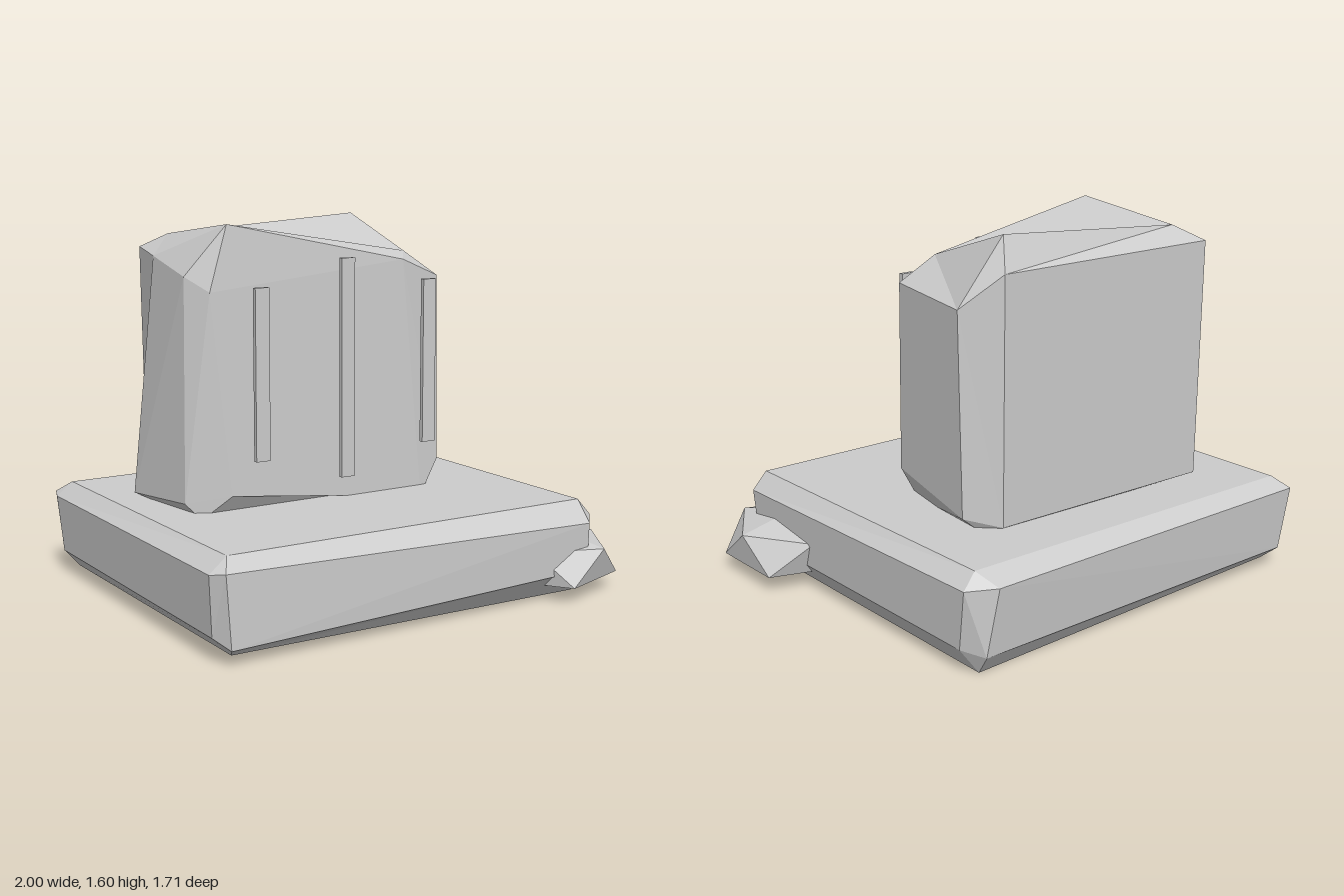
import * as THREE from 'three';
import { ConvexGeometry } from 'three/addons/geometries/ConvexGeometry.js';

const stone = new THREE.MeshStandardMaterial({ color: 0xcccccc, flatShading: true });

function part(name, geometry) {
  const mesh = new THREE.Mesh(geometry, stone);
  mesh.name = name;
  return mesh;
}

// Rough chamfered block. Each of the 8 corners (x, y, z low/high, z fastest)
// is cut into three points: one on its x face, one on its y face, one on its z face.
function chamferedBlock(corners) {
  const pts = corners.flat().map((p) => new THREE.Vector3(...p));
  const center = new THREE.Box3().setFromPoints(pts).getCenter(new THREE.Vector3());
  const out = [];
  const tri = (a, b, c) => {
    const n = b.clone().sub(a).cross(c.clone().sub(a));
    const mid = a.clone().add(b).add(c).divideScalar(3).sub(center);
    for (const p of n.dot(mid) < 0 ? [a, c, b] : [a, b, c]) out.push(p.x, p.y, p.z);
  };
  const quad = (a, b, c, d) => {
    // split along the shorter diagonal
    if (a.distanceTo(c) < b.distanceTo(d)) { tri(a, b, c); tri(a, c, d); }
    else { tri(a, b, d); tri(b, c, d); }
  };
  const weight = [4, 2, 1];
  for (let a = 0; a < 3; a++) {
    const b = (a + 1) % 3, c = (a + 2) % 3;
    const at = (sa, sb, sc, face) =>
      pts[(sa * weight[a] + sb * weight[b] + sc * weight[c]) * 3 + face];
    for (const s of [0, 1]) {
      quad(at(s, 0, 0, a), at(s, 1, 0, a), at(s, 1, 1, a), at(s, 0, 1, a)); // main face
      for (const t of [0, 1]) // bevels running along axis a
        quad(at(0, s, t, b), at(1, s, t, b), at(1, s, t, c), at(0, s, t, c));
    }
  }
  for (let i = 0; i < 24; i += 3) tri(pts[i], pts[i + 1], pts[i + 2]); // corner cuts
  const g = new THREE.BufferGeometry();
  g.setAttribute('position', new THREE.Float32BufferAttribute(out, 3));
  g.computeVertexNormals();
  return g;
}

// Squashed twelve-point boulder: two staggered rings of five plus two poles
function boulder() {
  const pts = [new THREE.Vector3(0.72, 0.28, 0.55), new THREE.Vector3(0.74, 0.015, 0.55)];
  for (let i = 0; i < 5; i++) {
    const u = (i * 2 * Math.PI) / 5, l = u + Math.PI / 5;
    pts.push(new THREE.Vector3(0.74 + 0.26 * Math.cos(u), 0.215, 0.555 + 0.3 * Math.sin(u)));
    pts.push(new THREE.Vector3(0.74 + 0.3 * Math.cos(l), 0.07, 0.56 + 0.31 * Math.sin(l)));
  }
  return new ConvexGeometry(pts);
}

export function createModel() {
  const model = new THREE.Group();
  model.name = 'stoneMonument';

  // Wide plinth slab
  model.add(part('plinth', chamferedBlock([
    [[-0.97, 0.10, -0.76], [-0.90, 0.02, -0.75], [-0.93, 0.08, -0.82]],
    [[-0.98, 0.10, 0.70], [-0.90, 0.02, 0.70], [-0.94, 0.065, 0.78]],
    [[-0.99, 0.35, -0.78], [-0.92, 0.41, -0.77], [-0.97, 0.36, -0.84]],
    [[-1.00, 0.35, 0.72], [-0.92, 0.41, 0.71], [-0.96, 0.36, 0.78]],
    [[0.83, 0.105, -0.74], [0.76, 0.0, -0.77], [0.77, 0.085, -0.83]],
    [[0.83, 0.11, 0.70], [0.76, 0.01, 0.70], [0.77, 0.12, 0.79]],
    [[0.84, 0.36, -0.78], [0.77, 0.42, -0.76], [0.73, 0.37, -0.86]],
    [[0.84, 0.34, 0.72], [0.77, 0.415, 0.72], [0.77, 0.325, 0.80]],
  ])));

  // Upright stone with an uneven top
  model.add(part('uprightStone', chamferedBlock([
    [[-0.79, 0.42, -0.38], [-0.70, 0.38, -0.45], [-0.65, 0.43, -0.55]],
    [[-0.76, 0.45, 0.05], [-0.70, 0.38, 0.08], [-0.59, 0.48, 0.145]],
    [[-0.71, 1.445, -0.315], [-0.58, 1.53, -0.44], [-0.66, 1.47, -0.56]],
    [[-0.735, 1.38, 0.02], [-0.58, 1.59, 0.10], [-0.67, 1.32, 0.12]],
    [[0.54, 0.46, -0.40], [0.45, 0.38, -0.43], [0.41, 0.42, -0.50]],
    [[0.46, 0.52, 0.12], [0.40, 0.38, 0.08], [0.36, 0.37, 0.14]],
    [[0.55, 1.32, -0.39], [0.36, 1.60, -0.44], [0.41, 1.46, -0.51]],
    [[0.48, 1.34, 0.08], [0.34, 1.45, 0.02], [0.27, 1.42, 0.12]],
  ])));

  // Thin upright strips standing clear of the front face
  for (const [name, x, y0, y1] of [
    ['rightStrip', -0.49, 0.63, 1.34],
    ['middleStrip', -0.08, 0.52, 1.445],
    ['leftStrip', 0.335, 0.63, 1.34],
  ]) {
    const strip = part(name, new THREE.BoxGeometry(0.065, y1 - y0, 0.02));
    strip.position.set(x, (y0 + y1) / 2, 0.22);
    model.add(strip);
  }

  // Small boulder at the front corner
  model.add(part('boulder', boulder()));
  return model;
}
